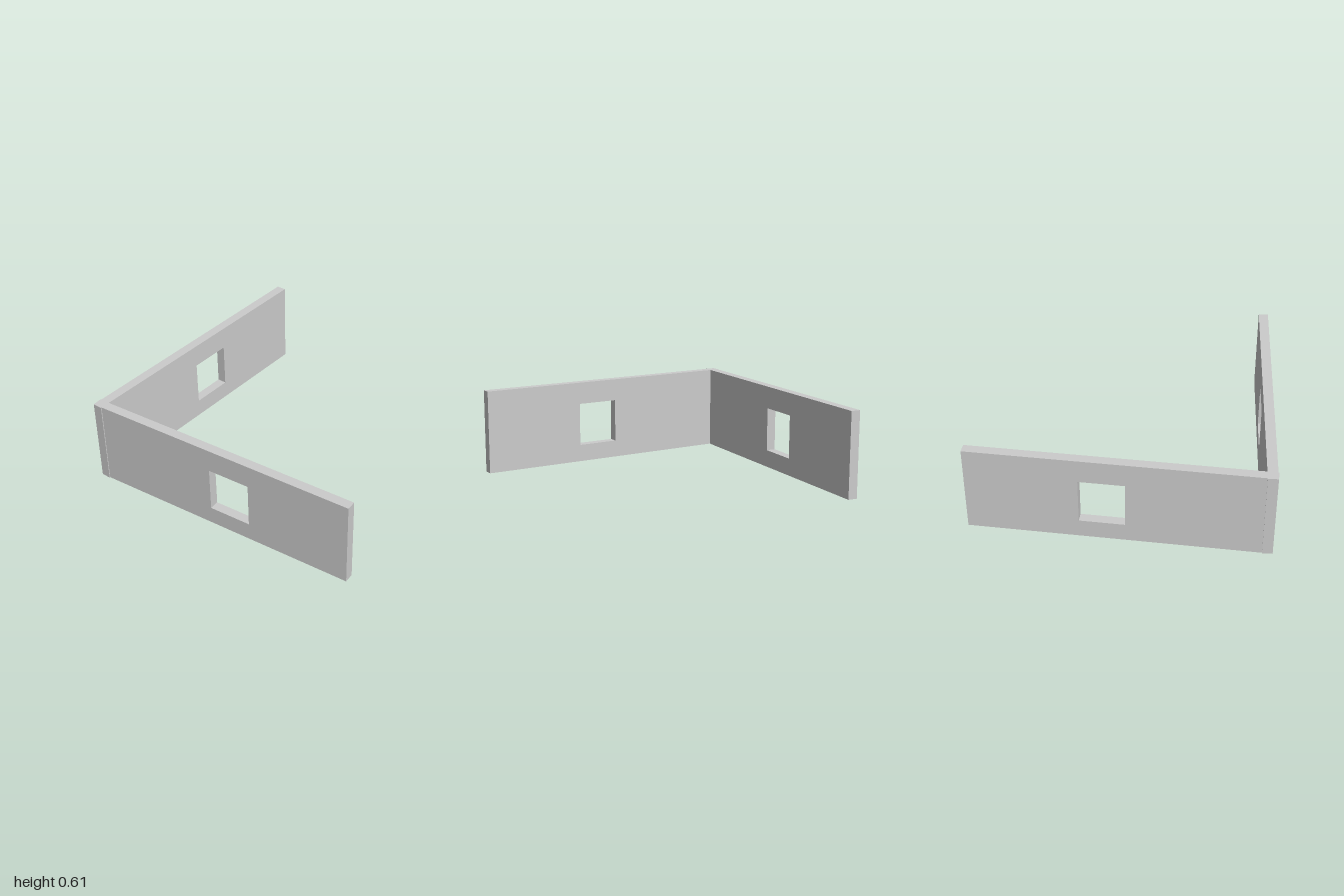
import * as THREE from 'three';

const LENGTH = 2, HEIGHT = 0.605, THICK = 0.068;
const WINDOW = { x0: 0.953, x1: 1.257, y0: 0.126, y1: 0.443 };

function rect(path, x0, y0, x1, y1) {
  path.moveTo(x0, y0);
  path.lineTo(x1, y0);
  path.lineTo(x1, y1);
  path.lineTo(x0, y1);
  path.closePath();
  return path;
}

// Straight wall running along +x from its corner, with a window cut through it
function makeWall(name, material, zOffset) {
  const shape = rect(new THREE.Shape(), 0, 0, LENGTH, HEIGHT);
  shape.holes.push(rect(new THREE.Path(), WINDOW.x0, WINDOW.y0, WINDOW.x1, WINDOW.y1));
  const geometry = new THREE.ExtrudeGeometry(shape, { depth: THICK, bevelEnabled: false });
  geometry.translate(0, 0, zOffset);
  const wall = new THREE.Mesh(geometry, material);
  wall.name = name;
  wall.position.set(-1, 0, -0.996);
  return wall;
}

export function createModel() {
  const group = new THREE.Group();
  group.name = 'cornerWalls';
  const material = new THREE.MeshStandardMaterial({ color: 0xcccccc, flatShading: true });

  // Back wall
  group.add(makeWall('backWall', material, 0));

  // Side wall, swung 85 degrees from the back wall about the shared outer corner
  const sideWall = makeWall('sideWall', material, -THICK);
  sideWall.rotation.y = THREE.MathUtils.degToRad(-85);
  group.add(sideWall);

  return group;
}
